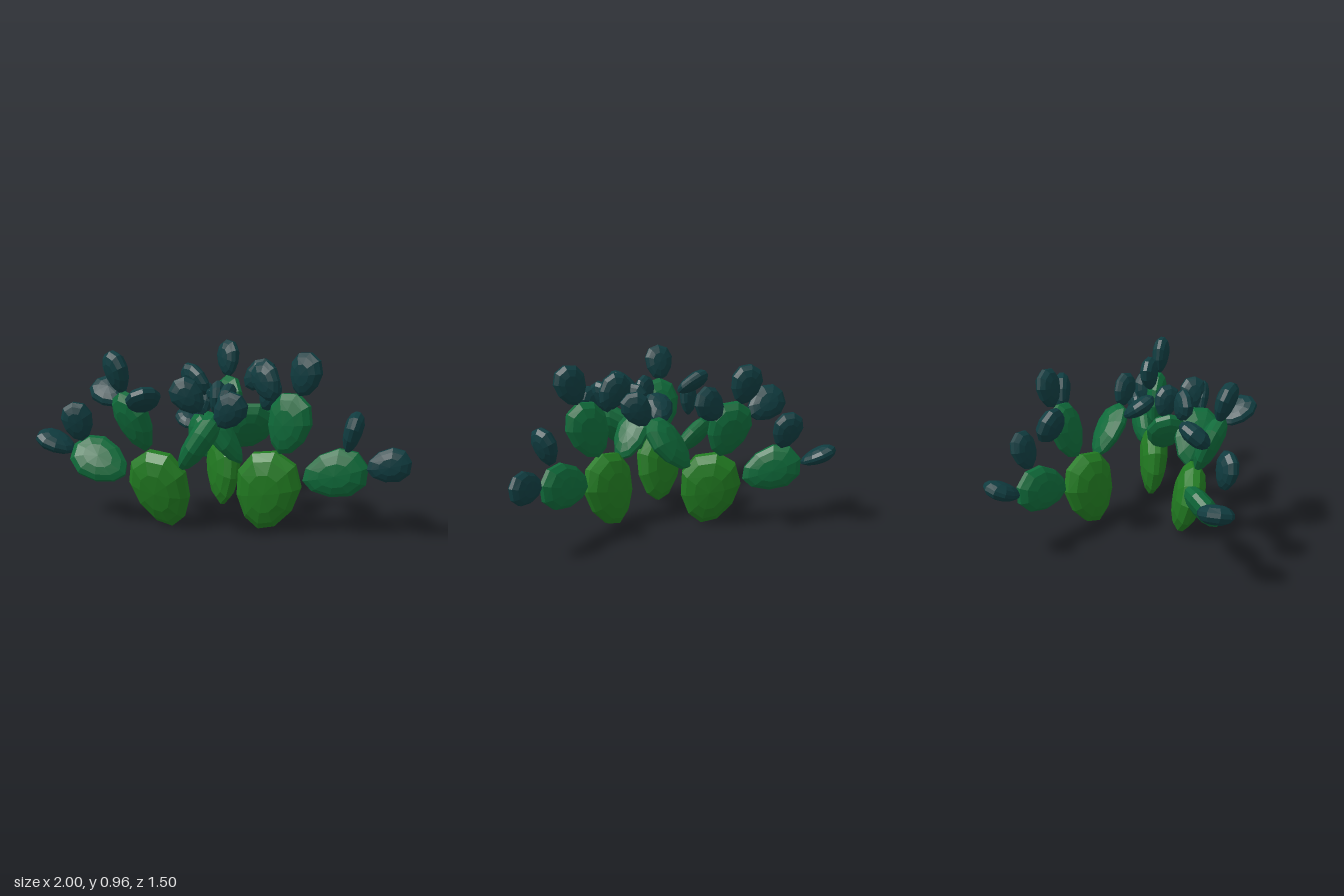
import * as THREE from 'three';

// Unit pad: a flattened, faceted disc facing y, narrower and thinner toward its base at -z
function makePadGeometry() {
  const profile = [[0, -1], [0.5, -0.9], [0.82, -0.62], [1, -0.2], [1, 0.2], [0.82, 0.62], [0.5, 0.9], [0, 1]];
  const geo = new THREE.LatheGeometry(profile.map(([r, y]) => new THREE.Vector2(r, y)), 10);
  const p = geo.attributes.position;
  for (let i = 0; i < p.count; i++) {
    const f = 1 + 0.2 * p.getZ(i);
    p.setX(i, p.getX(i) * f);
    p.setY(i, p.getY(i) * f);
  }
  geo.computeVertexNormals();
  return geo;
}

// Width and thickness of each kind of pad, relative to its length
const KINDS = {
  trunkPad: { color: 0x217a21, width: 0.77, thick: 0.37 },
  branchPad: { color: 0x0f6a3a, width: 0.72, thick: 0.34 },
  tipPad: { color: 0x103c40, width: 0.77, thick: 0.42 },
};

// Each pad: base point, tip point, direction its flat side faces
const PLANTS = {
  leftCactus: {
    trunkPad: [[[0.23, 0, 0.36], [0.32, 0.43, 0.41], [-0.2, 0, 0.98]]],
    branchPad: [
      [[0.46, 0.28, 0.41], [0.79, 0.37, 0.46], [-0.12, 0, 1]],
      [[0.34, 0.42, 0.41], [0.43, 0.74, 0.47], [-0.5, 0, 0.85]],
      [[0.14, 0.36, 0.39], [-0.05, 0.62, 0.36], [0.75, 0.6, 0.1]],
    ],
    tipPad: [
      [[0.78, 0.36, 0.47], [1, 0.41, 0.48], [-0.1, 0, 1]],
      [[0.68, 0.45, 0.48], [0.73, 0.66, 0.5], [0.95, -0.25, 0.2]],
      [[0.44, 0.73, 0.47], [0.49, 0.95, 0.51], [-0.55, 0, 0.83]],
      [[0.31, 0.69, 0.38], [0.22, 0.88, 0.31], [-0.6, 0, 0.8]],
      [[-0.07, 0.63, 0.4], [-0.21, 0.79, 0.4], [0, 0, 1]],
      [[0, 0.6, 0.34], [0.02, 0.79, 0.38], [1, 0, -0.1]],
    ],
  },
  rightCactus: {
    trunkPad: [[[-0.23, 0, 0.36], [-0.35, 0.42, 0.41], [-0.33, 0, 0.94]]],
    branchPad: [
      [[-0.49, 0.27, 0.36], [-0.79, 0.41, 0.27], [0.2, 0.5, 0.85]],
      [[-0.36, 0.42, 0.41], [-0.47, 0.74, 0.48], [-0.65, 0, 0.75]],
      [[-0.16, 0.35, 0.43], [0.02, 0.62, 0.62], [0.8, -0.58, 0]],
    ],
    tipPad: [
      [[-0.79, 0.38, 0.29], [-1, 0.47, 0.25], [0.3, 0.9, 0.2]],
      [[-0.71, 0.46, 0.39], [-0.75, 0.67, 0.41], [0, 0, 1]],
      [[-0.47, 0.73, 0.47], [-0.51, 0.95, 0.51], [-0.7, 0, 0.7]],
      [[-0.49, 0.66, 0.35], [-0.67, 0.76, 0.23], [0.2, 0.6, 0.75]],
      [[-0.34, 0.66, 0.56], [-0.3, 0.78, 0.74], [-0.3, 0.75, -0.55]],
      [[0.04, 0.59, 0.59], [0.16, 0.75, 0.64], [-0.3, -0.2, 0.93]],
      [[0.05, 0.61, 0.53], [0.1, 0.8, 0.57], [1, -0.2, 0.1]],
    ],
  },
  backCactus: {
    trunkPad: [[[-0.01, 0, -0.06], [-0.01, 0.43, -0.16], [0.87, 0, -0.48]]],
    branchPad: [
      [[-0.1, 0.27, -0.28], [-0.26, 0.39, -0.57], [0.87, 0, -0.48]],
      [[0, 0.42, -0.18], [0, 0.74, -0.29], [0.7, 0, -0.7]],
      [[0.1, 0.36, -0.04], [0.22, 0.63, 0.15], [0, 0.62, -0.78]],
    ],
    tipPad: [
      [[-0.27, 0.36, -0.57], [-0.34, 0.45, -0.75], [0.1, 0.85, 0.4]],
      [[-0.18, 0.46, -0.48], [-0.18, 0.67, -0.55], [0.7, 0, -0.7]],
      [[0, 0.73, -0.31], [-0.01, 0.95, -0.36], [0.7, 0, -0.7]],
      [[-0.12, 0.64, -0.31], [-0.3, 0.76, -0.43], [0.5, 0.4, -0.75]],
      [[0.11, 0.68, -0.24], [0.28, 0.82, -0.19], [-0.3, 0, 1]],
      [[0.24, 0.61, 0.15], [0.31, 0.79, 0.23], [0.85, 0, -0.5]],
      [[0.1, 0.6, 0.14], [-0.04, 0.73, 0.25], [0.3, 0.7, -0.4]],
    ],
  },
};

// Stretch a unit pad between its base and tip, facing the given way
function makePad(geometry, material, kind, [base, tip, facing]) {
  const a = new THREE.Vector3(...base);
  const b = new THREE.Vector3(...tip);
  const along = b.clone().sub(a);
  const length = along.length();
  along.normalize();
  const across = new THREE.Vector3(...facing).cross(along).normalize();
  const normal = along.clone().cross(across);
  const pad = new THREE.Mesh(geometry, material);
  pad.quaternion.setFromRotationMatrix(new THREE.Matrix4().makeBasis(across, normal, along));
  pad.position.copy(a).add(b).multiplyScalar(0.5);
  pad.scale.set(kind.width, kind.thick, 1).multiplyScalar(length / 2);
  return pad;
}

export function createModel() {
  const model = new THREE.Group();
  model.name = 'pricklyPearCluster';
  const geometry = makePadGeometry();
  const materials = {};
  for (const name in KINDS) {
    materials[name] = new THREE.MeshStandardMaterial({ color: KINDS[name].color, flatShading: true });
  }
  for (const plantName in PLANTS) {
    const plant = new THREE.Group();
    plant.name = plantName;
    for (const kindName in KINDS) {
      PLANTS[plantName][kindName].forEach((spec, i) => {
        const pad = makePad(geometry, materials[kindName], KINDS[kindName], spec);
        pad.name = kindName + (i + 1);
        plant.add(pad);
      });
    }
    model.add(plant);
  }
  return model;
}
